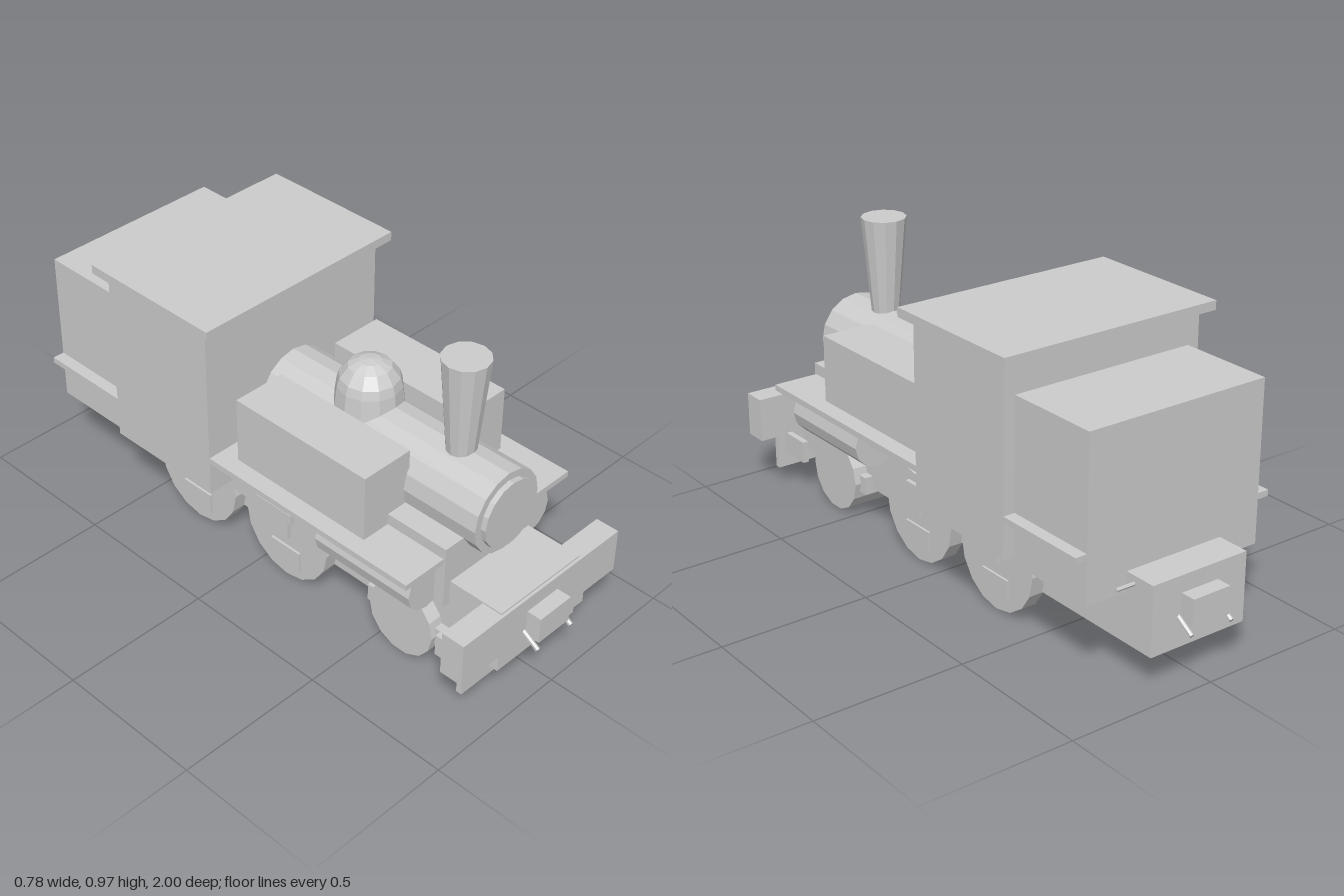
import * as THREE from 'three';

export function createModel() {
  const model = new THREE.Group();
  const material = new THREE.MeshStandardMaterial({ color: 0xcccccc, flatShading: true });

  function add(name, geometry, parent = model) {
    const mesh = new THREE.Mesh(geometry, material);
    mesh.name = name;
    parent.add(mesh);
    return mesh;
  }

  // Box given by its extents on each axis
  function box(name, [x0, x1], [y0, y1], [z0, z1], parent) {
    const mesh = add(name, new THREE.BoxGeometry(x1 - x0, y1 - y0, z1 - z0), parent);
    mesh.position.set((x0 + x1) / 2, (y0 + y1) / 2, (z0 + z1) / 2);
    return mesh;
  }

  // Cylinder running between two points
  function rod(name, a, b, radius, sides, parent, endRadius = radius) {
    const start = new THREE.Vector3(...a), end = new THREE.Vector3(...b);
    const dir = end.clone().sub(start);
    const mesh = add(name, new THREE.CylinderGeometry(endRadius, radius, dir.length(), sides), parent);
    mesh.position.copy(start).add(end).multiplyScalar(0.5);
    mesh.quaternion.setFromUnitVectors(new THREE.Vector3(0, 1, 0), dir.normalize());
    return mesh;
  }

  // Frame, front beam and guard plate
  box('frame', [-0.175, 0.175], [0.11, 0.335], [-0.94, 0.93]);
  box('bufferBeam', [-0.348, 0.348], [0.18, 0.33], [0.86, 0.94]);
  box('guardPlate', [-0.28, 0.28], [0.06, 0.2], [0.868, 0.888]);

  // Footplate and smokebox saddle
  box('footplate', [-0.36, 0.36], [0.412, 0.432], [-0.83, 0.73]);
  box('saddle', [-0.202, 0.202], [0.25, 0.47], [0.4, 0.737]);

  // Boiler with its front door
  rod('boiler', [0, 0.523, -0.1], [0, 0.523, 0.785], 0.138, 16);
  rod('smokeboxDoor', [0, 0.523, 0.78], [0, 0.523, 0.803], 0.113, 16);

  // Chimney flaring upwards, and dome
  rod('chimney', [0, 0.6, 0.605], [0, 0.973, 0.605], 0.042, 12, model, 0.075);
  const domeProfile = [[0.112, 0.58], [0.11, 0.63], [0.102, 0.7], [0.094, 0.73], [0.068, 0.765], [0.035, 0.781], [0, 0.786]];
  const dome = add('dome', new THREE.LatheGeometry(domeProfile.map(([r, y]) => new THREE.Vector2(r, y)), 12));
  dome.position.z = 0.242;

  // Cab, roof and coal bunker
  box('cab', [-0.36, 0.36], [0.295, 0.9], [-0.51, -0.08]);
  box('roof', [-0.388, 0.388], [0.898, 0.928], [-0.55, -0.04]);
  box('bunker', [-0.32, 0.32], [0.27, 0.792], [-0.83, -0.505]);

  // Solid leading roller
  rod('leadingWheel', [-0.225, 0.125, 0.595], [0.225, 0.125, 0.595], 0.125, 14);

  // Couplers at both ends
  for (const end of [1, -1]) {
    const coupler = new THREE.Group();
    coupler.name = end > 0 ? 'frontCoupler' : 'rearCoupler';
    box('couplerBlock', [-0.068, 0.068], [0.19, 0.28], [0.92, 0.99], coupler);
    for (const side of [1, -1]) {
      rod('couplerHook', [side * 0.075, 0.212, 0.93], [side * 0.075, 0.17, 0.995], 0.008, 6, coupler);
    }
    if (end < 0) coupler.rotation.y = Math.PI;
    model.add(coupler);
  }
  rod('brakePipe', [0.16, 0.31, -0.862], [0.24, 0.31, -0.862], 0.006, 6);

  // Parts repeated on each side, mirrored by sign
  for (const s of [1, -1]) {
    const side = new THREE.Group();
    side.name = s > 0 ? 'leftSide' : 'rightSide';
    model.add(side);
    const span = (a, b) => (s > 0 ? [a, b] : [-b, -a]);

    box('sideTank', span(0.116, 0.302), [0.43, 0.656], [-0.015, 0.512], side);
    box('guardIron', span(0.23, 0.25), [0.11, 0.185], [0.755, 0.87], side);
    box('frontAxleBracket', span(0.16, 0.205), [0.095, 0.155], [0.71, 0.745], side);
    box('rearAxleBracket', span(0.16, 0.205), [0.095, 0.155], [0.443, 0.48], side);

    // Steam cylinder and piston rod
    rod('steamCylinder', [s * 0.233, 0.33, 0.325], [s * 0.233, 0.33, 0.7], 0.08, 12, side);
    rod('pistonRod', [s * 0.25, 0.33, 0.14], [s * 0.25, 0.33, 0.34], 0.008, 6, side);

    // Driving wheels with counterweight and crank
    for (const z of [0.11, -0.295]) {
      rod('drivingWheel', [s * 0.17, 0.175, z], [s * 0.222, 0.175, z], 0.175, 16, side);
      box('counterweight', span(0.215, 0.23), [0.045, 0.12], [z - 0.062, z + 0.062], side);
      box('crank', span(0.215, 0.236), [0.16, 0.25], [z - 0.018, z + 0.018], side);
    }

    // Coupling rod and sloping main rod
    box('couplingRod', span(0.228, 0.243), [0.232, 0.268], [-0.33, 0.15], side);
    box('bigEnd', span(0.235, 0.268), [0.23, 0.268], [-0.325, -0.275], side);
    const mainRod = add('mainRod', new THREE.BoxGeometry(0.016, 0.022, 0.48), side);
    mainRod.position.set(s * 0.254, 0.288, -0.065);
    mainRod.rotation.x = -Math.atan2(0.088, 0.47);
  }

  return model;
}
